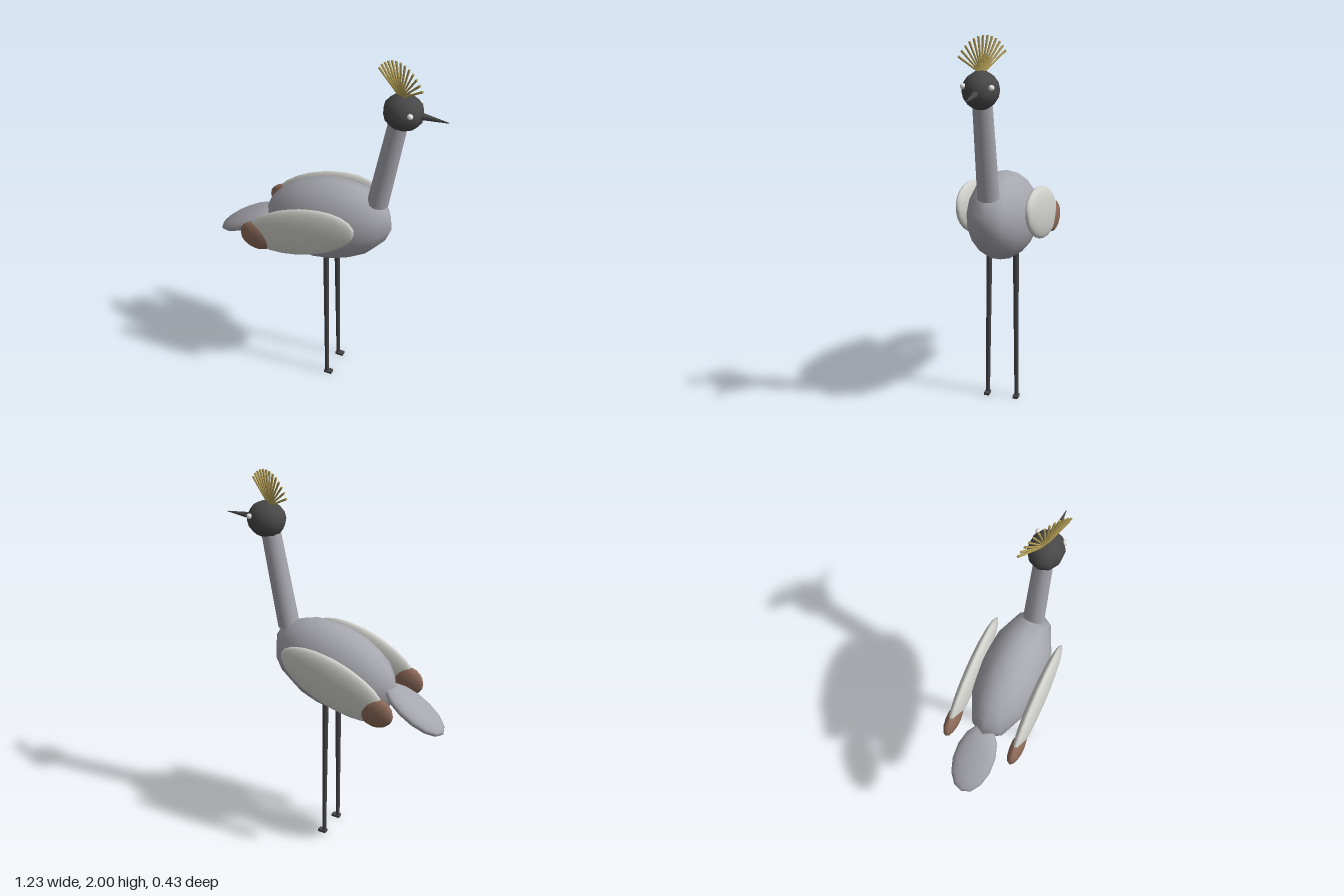
import * as THREE from 'three';

const material = (name, color) => {
  const m = new THREE.MeshStandardMaterial({ color });
  m.name = name;
  return m;
};

export function createModel() {
  const bird = new THREE.Group();
  bird.name = 'bird';
  const plumage = material('grey plumage', 0xa6a6ae);
  const wingWhite = material('wing white', 0xd2d2cd);
  const wingBrown = material('wing brown', 0x8e6b59);
  const dark = material('dark head', 0x484848);
  const legDark = material('leg grey', 0x46464a);
  const gold = material('crest gold', 0xb39d55);
  const white = material('eye white', 0xe6e6e6);

  const add = (name, geometry, mat) => {
    const mesh = new THREE.Mesh(geometry, mat);
    mesh.name = name;
    bird.add(mesh);
    return mesh;
  };

  // Ellipsoid at pos with half sizes, pitched about z
  const ellipsoid = (name, mat, pos, size, pitch = 0, w = 14, h = 10) => {
    const mesh = add(name, new THREE.SphereGeometry(1, w, h), mat);
    mesh.position.set(...pos);
    mesh.scale.set(...size);
    mesh.rotation.z = pitch;
    return mesh;
  };

  // Tapered rod between two points
  const rod = (name, mat, from, to, r0, r1, sides = 8) => {
    const a = new THREE.Vector3(...from);
    const b = new THREE.Vector3(...to);
    const mesh = add(name, new THREE.CylinderGeometry(r1, r0, a.distanceTo(b), sides), mat);
    mesh.position.copy(a).lerp(b, 0.5);
    mesh.quaternion.setFromUnitVectors(new THREE.Vector3(0, 1, 0), b.sub(a).normalize());
    return mesh;
  };

  // Body, tail, neck and head
  ellipsoid('body', plumage, [0.003, 1.005, 0], [0.356, 0.23, 0.167], 0.28, 12, 10);
  ellipsoid('tail', plumage, [-0.45, 0.872, 0], [0.19, 0.042, 0.107], 0.56);
  rod('neck', plumage, [0.271, 1.178, 0], [0.367, 1.69, 0], 0.056, 0.049, 12);
  ellipsoid('head', dark, [0.388, 1.742, 0], [0.102, 0.093, 0.09], 0, 10, 8);
  rod('beak', dark, [0.47, 1.742, 0], [0.614, 1.739, 0], 0.019, 0.002);

  for (const side of [1, -1]) {
    const label = side > 0 ? 'front' : 'back';

    // Wings with brown tips
    ellipsoid(label + 'Wing', wingWhite, [-0.078, 1.01, side * 0.18], [0.312, 0.136, 0.037], 0.345, 20, 12);
    ellipsoid(label + 'WingTip', wingBrown, [-0.316, 0.915, side * 0.18], [0.097, 0.083, 0.035], 0, 14, 10);

    // Eyes and cheek marks
    ellipsoid(label + 'Eye', white, [0.446, 1.77, side * 0.069], [0.015, 0.014, 0.014], 0, 10, 8);
    ellipsoid(label + 'Cheek', white, [0.461, 1.746, side * 0.049], [0.006, 0.028, 0.006], 0, 8, 6);

    // Legs and feet
    rod(label + 'Leg', legDark, [0.029, 0.008, side * 0.079], [0.021, 0.83, side * 0.071], 0.011, 0.016);
    const foot = add(label + 'Foot', new THREE.BoxGeometry(0.044, 0.014, 0.028), legDark);
    foot.position.set(0.038, 0.007, side * 0.079);
  }

  // Fan crest, its plane turned about the vertical
  const count = 13;
  const turn = 0.49;
  for (let i = 0; i < count; i++) {
    const angle = -1.06 + (i / (count - 1)) * 2.02;
    const out = Math.sin(angle) * 0.183;
    rod('crestFeather', gold,
      [0.37, 1.815, 0],
      [0.37 + out * Math.cos(turn), 1.815 + Math.cos(angle) * 0.183, out * Math.sin(turn)],
      0.004, 0.006, 6);
  }
  return bird;
}
